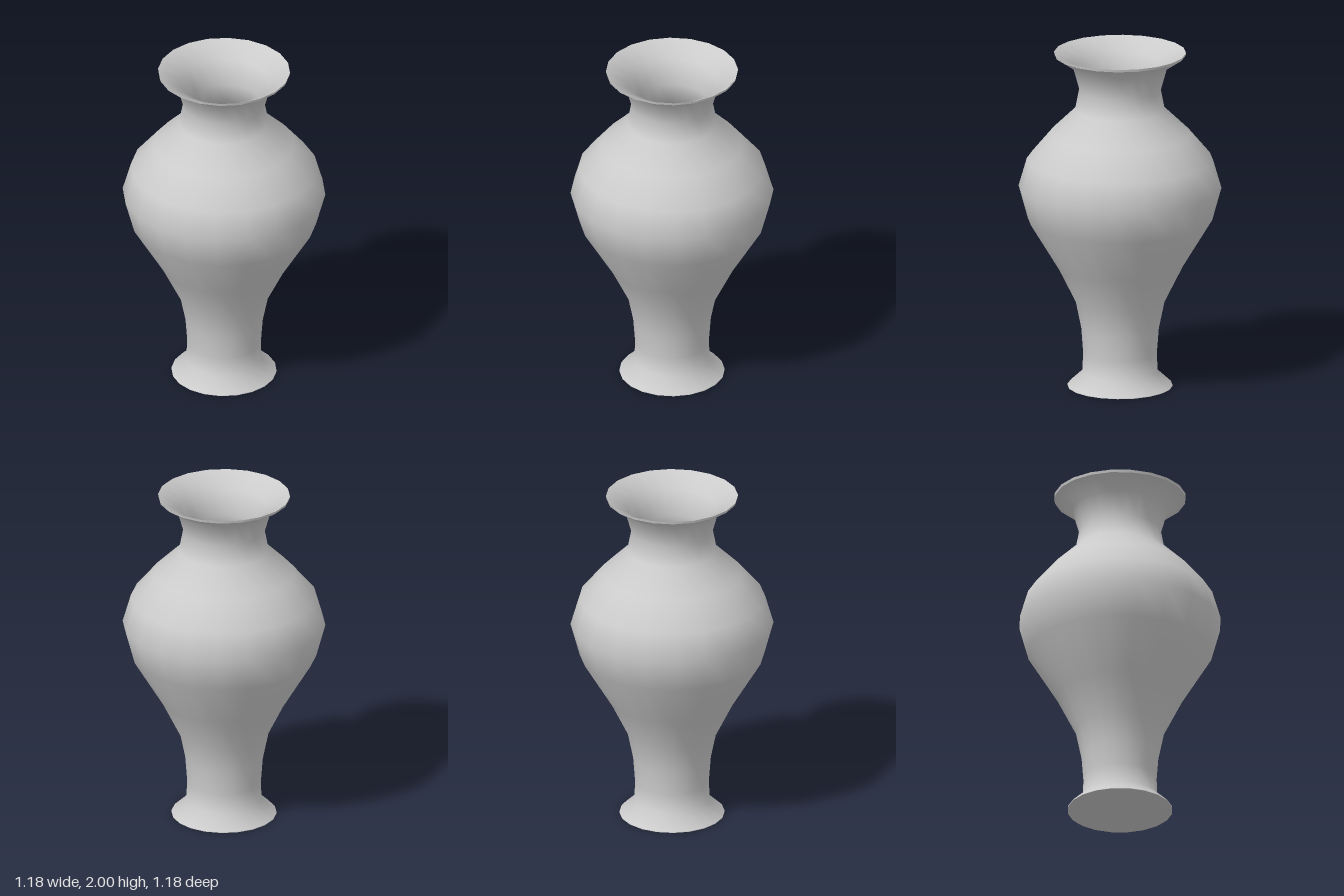
import * as THREE from 'three';

const SIDES = 20;

export function createModel() {
  const group = new THREE.Group();
  group.name = 'vase';
  const material = new THREE.MeshStandardMaterial({ color: 0xcccccc });

  // Turns a profile of [radius, height] pairs; rising profiles face outward
  const turn = (name, profile) => {
    const points = profile.map(([r, y]) => new THREE.Vector2(r, y));
    const mesh = new THREE.Mesh(new THREE.LatheGeometry(points, SIDES), material);
    mesh.name = name;
    group.add(mesh);
  };

  // Flat underside of the foot
  turn('base', [[0, 0], [0.305, 0]]);

  // Flared foot, narrow stem, full shoulder, neck and flared mouth
  turn('outerWall', [
    [0.305, 0], [0.305, 0.005], [0.218, 0.085], [0.214, 0.2], [0.225, 0.345],
    [0.258, 0.505], [0.365, 0.72], [0.535, 1.0], [0.588, 1.195], [0.54, 1.36],
    [0.41, 1.515], [0.26, 1.66], [0.237, 1.78], [0.275, 1.915], [0.38, 1.985],
  ]);

  // Thin edge of the mouth
  turn('rim', [[0.38, 1.985], [0.383, 2.0]]);

  // Hollow inside, following the outer wall down to the floor
  turn('innerWall', [
    [0.383, 2.0], [0.258, 1.925], [0.216, 1.78], [0.24, 1.65], [0.395, 1.5],
    [0.52, 1.35], [0.567, 1.195], [0.515, 1.005], [0.345, 0.73], [0.238, 0.51],
    [0.205, 0.345], [0.194, 0.2], [0.19, 0.09], [0, 0.06],
  ]);

  return group;
}
